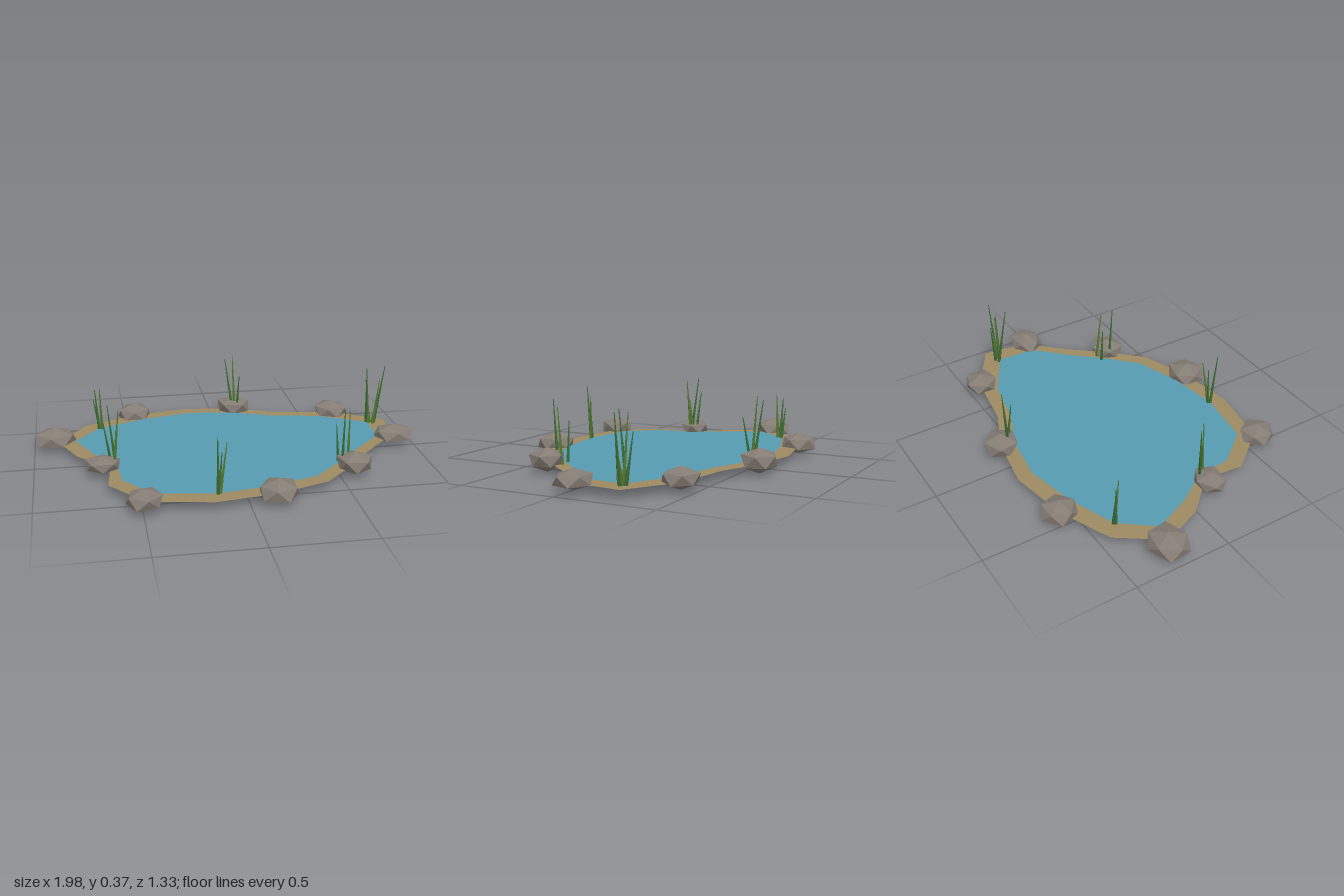
import * as THREE from 'three';

const mat = (name, color, extra = {}) => {
  const m = new THREE.MeshStandardMaterial({ color, ...extra });
  m.name = name;
  return m;
};

// Outlines as [x, z] pairs, clockwise from the back
const BANK = [
  [-0.15, -0.63], [0.13, -0.585], [0.35, -0.49], [0.67, -0.44], [0.92, -0.28], [0.895, -0.05],
  [0.7, 0.15], [0.56, 0.32], [0.4, 0.48], [0.13, 0.575], [-0.17, 0.615], [-0.48, 0.56],
  [-0.645, 0.35], [-0.625, 0.145], [-0.785, -0.03], [-0.875, -0.24], [-0.72, -0.46], [-0.45, -0.575],
];
const WATER = [
  [-0.145, -0.55], [0.09, -0.52], [0.315, -0.43], [0.57, -0.38], [0.815, -0.24], [0.805, -0.04],
  [0.63, 0.135], [0.51, 0.27], [0.36, 0.415], [0.11, 0.495], [-0.145, 0.53], [-0.44, 0.485],
  [-0.575, 0.31], [-0.59, 0.135], [-0.695, -0.03], [-0.785, -0.23], [-0.65, -0.4], [-0.4, -0.495],
];

// Rocks: x, z, half width, half depth, half height
const ROCKS = [
  [-0.45, -0.575, 0.09, 0.09, 0.055], [0.12, -0.585, 0.092, 0.088, 0.063],
  [0.655, -0.435, 0.09, 0.086, 0.054], [0.893, -0.033, 0.105, 0.084, 0.049],
  [0.575, 0.325, 0.09, 0.086, 0.06], [0.137, 0.57, 0.1, 0.095, 0.059],
  [-0.49, 0.565, 0.09, 0.086, 0.053], [-0.66, 0.14, 0.09, 0.072, 0.048],
  [-0.89, -0.262, 0.11, 0.096, 0.057],
];

// Reed clumps; each stalk is base x, base z, tip x, tip y, tip z
const CLUMPS = [
  [[-0.655, -0.39, -0.67, 0.27, -0.4], [-0.64, -0.385, -0.645, 0.29, -0.37], [-0.65, -0.4, -0.68, 0.21, -0.41]],
  [[0.11, -0.55, 0.07, 0.35, -0.58], [0.12, -0.545, 0.11, 0.37, -0.565], [0.13, -0.545, 0.14, 0.27, -0.505]],
  [[0.81, -0.25, 0.785, 0.37, -0.2], [0.82, -0.24, 0.8, 0.36, -0.255], [0.85, -0.24, 0.9, 0.37, -0.245],
    [0.84, -0.25, 0.885, 0.25, -0.24], [0.83, -0.26, 0.81, 0.28, -0.285], [0.84, -0.23, 0.87, 0.3, -0.23]],
  [[-0.595, 0.13, -0.625, 0.36, 0.1], [-0.605, 0.14, -0.575, 0.35, 0.15],
    [-0.615, 0.11, -0.65, 0.28, 0.095], [-0.6, 0.12, -0.59, 0.24, 0.14]],
  [[0.515, 0.305, 0.515, 0.35, 0.325], [0.56, 0.25, 0.555, 0.32, 0.275], [0.51, 0.25, 0.495, 0.25, 0.25]],
  [[-0.145, 0.53, -0.15, 0.34, 0.555], [-0.135, 0.525, -0.098, 0.29, 0.5], [-0.14, 0.52, -0.125, 0.25, 0.52]],
];

function sheet(name, points, y, material) {
  const shape = new THREE.Shape(points.map(([x, z]) => new THREE.Vector2(x, -z)));
  const mesh = new THREE.Mesh(new THREE.ShapeGeometry(shape).rotateX(-Math.PI / 2), material);
  mesh.position.y = y;
  mesh.name = name;
  return mesh;
}

// Squashed icosahedron standing on a corner, each corner pushed in or out a little
function rock([x, z, w, d, h], i, material) {
  const g = new THREE.IcosahedronGeometry(1, 0).rotateX(-Math.atan((1 + Math.sqrt(5)) / 2));
  const p = g.attributes.position;
  const v = new THREE.Vector3();
  for (let k = 0; k < p.count; k++) {
    v.fromBufferAttribute(p, k);
    const wobble = 1 + 0.07 * Math.sin(v.x * 7 + v.y * 5 + v.z * 9 + i * 2.3);
    const side = Math.abs(v.y) > 0.9 ? 1 : wobble;
    p.setXYZ(k, v.x * side, v.y * side, v.z * side);
  }
  g.rotateY(i * 1.7).scale(w * 1.09, h, d * 1.09);
  g.computeVertexNormals();
  const mesh = new THREE.Mesh(g, material);
  mesh.position.set(x, 0.065, z);
  mesh.name = 'rock';
  return mesh;
}

function reed([bx, bz, tx, ty, tz], material) {
  const base = new THREE.Vector3(bx, 0.042, bz);
  const dir = new THREE.Vector3(tx, ty, tz).sub(base);
  const h = dir.length();
  const g = new THREE.CylinderGeometry(0.002, 0.009, h, 5).translate(0, h / 2, 0);
  const mesh = new THREE.Mesh(g, material);
  mesh.position.copy(base);
  mesh.quaternion.setFromUnitVectors(new THREE.Vector3(0, 1, 0), dir.normalize());
  mesh.name = 'reed';
  return mesh;
}

export function createModel() {
  const sand = mat('sand', 0x9c8a60, { side: THREE.DoubleSide });
  const water = mat('water', 0x569bb0, { side: THREE.DoubleSide });
  const stone = mat('stone', 0x857d74, { flatShading: true });
  const greens = [
    mat('dark green', 0x3c6a34, { flatShading: true }),
    mat('olive green', 0x55782f, { flatShading: true }),
  ];

  const pond = new THREE.Group();
  pond.name = 'pond';
  pond.add(sheet('bank', BANK, 0.046, sand), sheet('waterSurface', WATER, 0.05, water));

  const rocks = new THREE.Group();
  rocks.name = 'rocks';
  ROCKS.forEach((r, i) => rocks.add(rock(r, i, stone)));
  pond.add(rocks);

  for (const stalks of CLUMPS) {
    const clump = new THREE.Group();
    clump.name = 'reedClump';
    stalks.forEach((s, i) => clump.add(reed(s, greens[i % 2])));
    pond.add(clump);
  }
  return pond;
}
